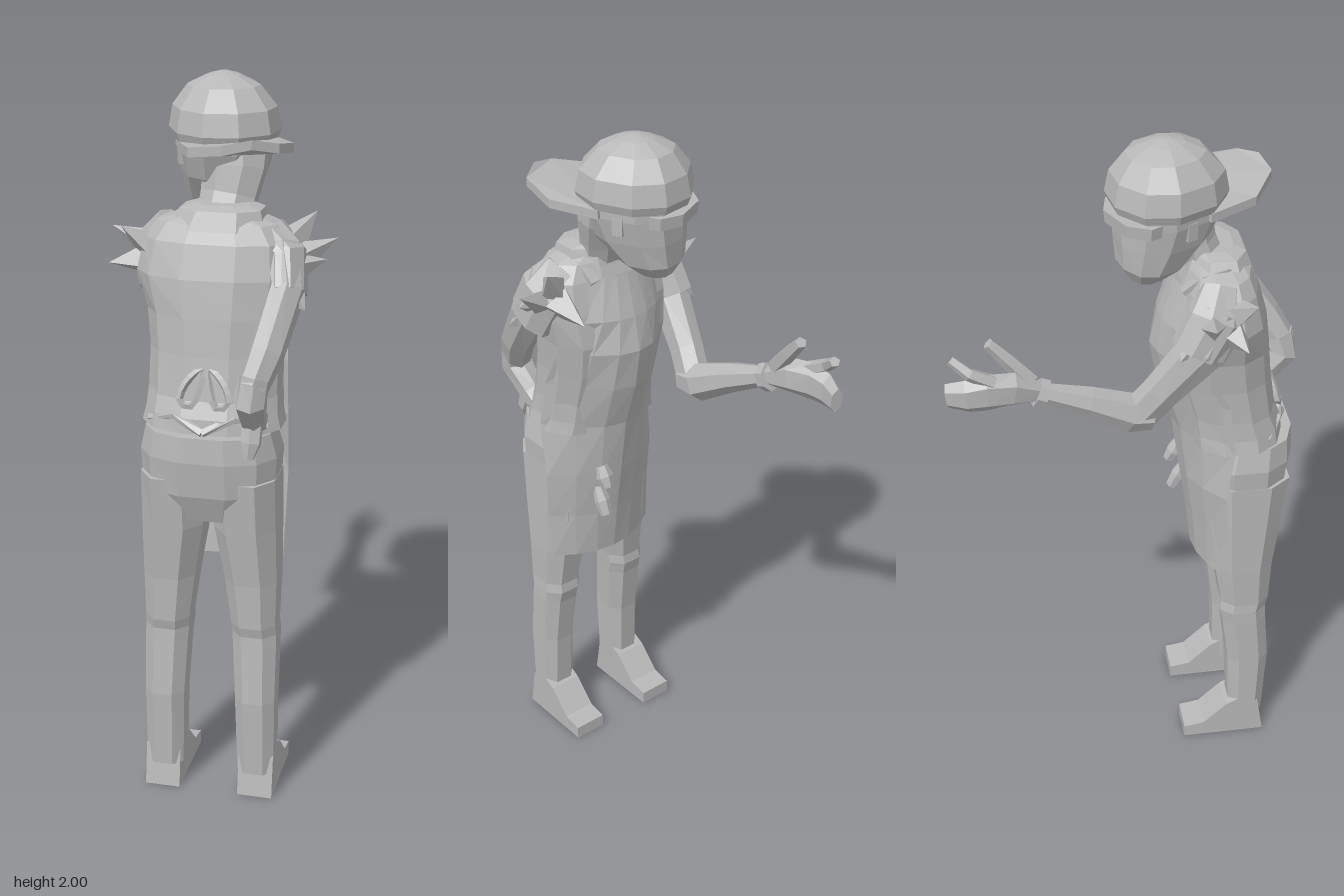
import * as THREE from 'three';

const V = (a) => new THREE.Vector3(...a);

// Skin closed rings of points into a capped tube; rings run along the part's axis.
function skin(rings) {
  const n = rings[0].length, pos = [], idx = [];
  rings.forEach((r) => r.forEach((p) => pos.push(p.x, p.y, p.z)));
  for (let i = 0; i < rings.length - 1; i++) for (let j = 0; j < n; j++) {
    const a = i * n + j, b = i * n + (j + 1) % n;
    idx.push(a, b, a + n, b, b + n, a + n);
  }
  const last = (rings.length - 1) * n;
  for (let j = 1; j < n - 1; j++) {
    idx.push(0, j + 1, j);
    idx.push(last, last + j, last + j + 1);
  }
  const g = new THREE.BufferGeometry();
  g.setAttribute('position', new THREE.Float32BufferAttribute(pos, 3));
  g.setIndex(idx);
  g.computeVertexNormals();
  return g;
}

const sgnPow = (v, p) => Math.sign(v) * Math.abs(v) ** p;

// Horizontal rings, bottom to top: [y, cx, cz, rx, rz]; p below 1 squares them off.
function stack(rows, n = 10, p = 0.8) {
  return skin(rows.map(([y, cx, cz, rx, rz]) => Array.from({ length: n }, (_, j) => {
    const t = -(j + 0.5) / n * Math.PI * 2;
    return new THREE.Vector3(cx + rx * sgnPow(Math.cos(t), p), y, cz + rz * sgnPow(Math.sin(t), p));
  })));
}

// Limb along points: [x, y, z, half width sideways, half depth].
function limb(rows, n = 7) {
  const pts = rows.map((r) => V(r.slice(0, 3)));
  return skin(rows.map((r, i) => {
    const d = pts[Math.min(i + 1, pts.length - 1)].clone().sub(pts[Math.max(i - 1, 0)]).normalize();
    const side = new THREE.Vector3(1, 0, 0).addScaledVector(d, -d.x).normalize();
    const up = d.clone().cross(side);
    return Array.from({ length: n }, (_, j) => {
      const t = (j + 0.5) / n * Math.PI * 2;
      return pts[i].clone().addScaledVector(side, Math.cos(t) * r[3]).addScaledVector(up, Math.sin(t) * r[4]);
    });
  }));
}

export function createModel() {
  const model = new THREE.Group();
  const grey = new THREE.MeshStandardMaterial({ color: 0xb8b8b8, flatShading: true, side: THREE.DoubleSide });
  grey.name = 'plain grey';
  const add = (name, geo, parent = model) => {
    const m = new THREE.Mesh(geo, grey);
    m.name = name;
    parent.add(m);
    return m;
  };

  // Torso leaning forward from the hips
  add('torso', stack([
    [1.06, 0, 0.31, 0.17, 0.12], [1.16, 0, 0.28, 0.18, 0.13], [1.3, 0, 0.25, 0.18, 0.14],
    [1.4, 0, 0.235, 0.19, 0.145], [1.5, -0.005, 0.235, 0.215, 0.13], [1.59, 0, 0.235, 0.2, 0.105],
    [1.635, 0, 0.235, 0.165, 0.085], [1.66, 0.01, 0.23, 0.09, 0.065],
  ], 12));
  add('shirtHem', stack([[1.1, 0, 0.29, 0.195, 0.14], [1.14, 0, 0.285, 0.185, 0.14], [1.2, 0, 0.27, 0.18, 0.13]], 12));
  add('collar', stack([[1.62, 0, 0.235, 0.14, 0.095], [1.67, 0.01, 0.235, 0.115, 0.075], [1.68, 0.01, 0.22, 0.075, 0.06]], 8));
  add('neck', limb([[0, 1.58, 0.22, 0.075, 0.06], [0.015, 1.69, 0.18, 0.08, 0.055], [0.025, 1.76, 0.16, 0.09, 0.065],
    [0.02, 1.84, 0.14, 0.1, 0.07]], 8));

  // Trousers and shoes
  add('trouserSeat', stack([
    [0.85, 0, 0.325, 0.14, 0.095], [0.93, 0, 0.325, 0.187, 0.128],
    [1.03, 0, 0.32, 0.192, 0.145], [1.1, 0, 0.33, 0.175, 0.13],
  ], 12));
  const sole = new THREE.Shape([[-0.4, 0], [-0.15, 0], [-0.15, 0.04], [-0.21, 0.05], [-0.28, 0.12], [-0.32, 0.14], [-0.38, 0.12]]
    .map((p) => new THREE.Vector2(...p)));
  for (const s of [-1, 1]) {
    const side = s > 0 ? 'left' : 'right';
    add(side + 'TrouserLeg', stack([
      [0.07, s * 0.132, 0.345, 0.056, 0.056], [0.3, s * 0.13, 0.345, 0.06, 0.066],
      [0.46, s * 0.126, 0.328, 0.065, 0.07], [0.5, s * 0.124, 0.322, 0.066, 0.074], [0.53, s * 0.122, 0.328, 0.066, 0.076],
      [0.66, s * 0.115, 0.32, 0.077, 0.09], [0.82, s * 0.101, 0.322, 0.091, 0.11], [0.97, s * 0.1, 0.325, 0.09, 0.125],
    ], 8));
    const shoe = add(side + 'Shoe', new THREE.ExtrudeGeometry(sole, { depth: 0.1, bevelEnabled: false }));
    shoe.rotation.y = Math.PI / 2;
    shoe.position.x = s * 0.135 - 0.05;
  }

  // Apron: rows of [y, half width, z at the middle, z at the edge]
  const rows = [[0.655, 0.182, 0.185, 0.255], [0.8, 0.19, 0.168, 0.26], [0.95, 0.195, 0.145, 0.25], [1.12, 0.197, 0.12, 0.27],
    [1.26, 0.19, 0.075, 0.25], [1.38, 0.18, 0.055, 0.19], [1.48, 0.14, 0.075, 0.13], [1.6, 0.1, 0.11, 0.14]];
  const apron = new THREE.PlaneGeometry(2, 1, 6, rows.length - 1);
  const ap = apron.attributes.position;
  for (let i = 0; i < ap.count; i++) {
    const u = ap.getX(i), [y, w, zm, ze] = rows[Math.floor(i / 7)];
    ap.setXYZ(i, u * w, y, zm + (ze - zm) * u * u);
  }
  add('apron', apron);
  for (const s of [-1, 1]) {
    const strap = [[0.095, 1.59, 0.13], [0.105, 1.635, 0.18], [0.1, 1.65, 0.24], [0.08, 1.63, 0.3]];
    add('apronStrap', limb(strap.map(([x, y, z]) => [s * x, y, z, 0.02, 0.01]), 4));
    // Bow loops at the small of the back
    const loop = new THREE.CatmullRomCurve3([[0.008, 1.27, 0.385], [0.05, 1.235, 0.4], [0.065, 1.185, 0.415],
      [0.035, 1.175, 0.42], [0.015, 1.215, 0.405]].map(([x, y, z]) => new THREE.Vector3(s * x, y, z)), true);
    add('bowLoop', new THREE.TubeGeometry(loop, 12, 0.01, 4, true));
    add('bowTail', limb([[0, 1.11, 0.44, 0.012, 0.01], [s * 0.08, 1.145, 0.41, 0.015, 0.01], [s * 0.16, 1.12, 0.37, 0.012, 0.01]], 4));
  }

  // Small tools hanging from the apron
  add('toolHandle', limb([[0.065, 0.98, 0.155, 0.018, 0.015], [0.065, 0.95, 0.14, 0.028, 0.02], [0.065, 0.92, 0.125, 0.018, 0.015]], 6));
  add('toolBlade', limb([[0.065, 0.91, 0.18, 0.015, 0.01], [0.065, 0.86, 0.155, 0.025, 0.02], [0.065, 0.82, 0.135, 0.02, 0.015]], 6));

  // Head turned to one side, with a cap worn backwards
  const head = new THREE.Group();
  head.name = 'head';
  head.position.set(-0.02, 0, 0.09);
  head.rotation.y = 0.46;
  model.add(head);
  add('face', stack([
    [1.62, 0, -0.06, 0.05, 0.045], [1.66, 0, -0.045, 0.09, 0.085], [1.73, 0, -0.01, 0.112, 0.125],
    [1.8, 0, 0.005, 0.128, 0.14], [1.88, 0, 0, 0.13, 0.14],
  ], 10), head);
  add('capCrown', stack([
    [1.825, 0, 0.005, 0.138, 0.152], [1.85, 0, 0.005, 0.147, 0.162], [1.91, 0, 0.005, 0.137, 0.15],
    [1.965, 0, 0, 0.095, 0.105], [1.99, 0, 0, 0.045, 0.05], [2, 0, 0, 0.01, 0.01],
  ], 10, 0.9), head);
  add('capStrap', stack([[1.785, 0, -0.075, 0.108, 0.085], [1.82, 0, -0.075, 0.112, 0.088]], 8), head);
  const bill = new THREE.Shape([[-0.135, 0.05], [-0.14, 0.19], [-0.075, 0.29], [0, 0.305], [0.075, 0.29], [0.14, 0.19], [0.135, 0.05]]
    .map((p) => new THREE.Vector2(...p)));
  const brim = new THREE.ExtrudeGeometry(bill, { depth: 0.025, bevelEnabled: false }).rotateX(Math.PI / 2);
  const bp = brim.attributes.position;
  for (let i = 0; i < bp.count; i++) bp.setY(i, bp.getY(i) + bp.getZ(i) * 0.08 - Math.abs(bp.getX(i)) * 0.18);
  add('capBrim', brim, head).position.y = 1.847;
  for (const s of [-1, 1]) {
    add('ear', new THREE.BoxGeometry(0.012, 0.05, 0.03), head).position.set(s * 0.119, 1.785, 0);
  }

  // Arm reaching forward with an open hand
  add('reachingUpperArm', limb([[-0.17, 1.57, 0.22, 0.055, 0.07], [-0.195, 1.47, 0.17, 0.05, 0.07],
    [-0.175, 1.33, 0.06, 0.045, 0.055], [-0.16, 1.26, 0.01, 0.045, 0.055]]));
  add('reachingForearm', limb([[-0.16, 1.25, 0.04, 0.045, 0.045], [-0.16, 1.26, -0.02, 0.054, 0.057],
    [-0.175, 1.32, -0.14, 0.042, 0.043], [-0.19, 1.37, -0.26, 0.028, 0.028]]));
  add('reachingCuff', limb([[-0.19, 1.363, -0.25, 0.036, 0.042], [-0.19, 1.373, -0.275, 0.036, 0.042]]));
  add('palmAndFingers', limb([[-0.19, 1.375, -0.27, 0.025, 0.03], [-0.205, 1.4, -0.34, 0.035, 0.052], [-0.22, 1.405, -0.41, 0.028, 0.056],
    [-0.222, 1.4, -0.46, 0.024, 0.05], [-0.205, 1.395, -0.51, 0.018, 0.038]], 6));
  add('thumb', limb([[-0.19, 1.41, -0.29, 0.022, 0.026], [-0.183, 1.48, -0.35, 0.022, 0.022], [-0.178, 1.53, -0.395, 0.018, 0.016]], 5));
  add('indexFinger', limb([[-0.22, 1.435, -0.39, 0.022, 0.022], [-0.225, 1.47, -0.45, 0.019, 0.018], [-0.205, 1.505, -0.495, 0.015, 0.014]], 5));

  // Arm bent behind, hand resting on the lower back
  add('bentUpperArm', limb([[0.17, 1.57, 0.24, 0.055, 0.07], [0.195, 1.47, 0.3, 0.05, 0.065],
    [0.165, 1.33, 0.41, 0.047, 0.055], [0.14, 1.25, 0.46, 0.04, 0.05]]));
  add('bentForearm', limb([[0.145, 1.28, 0.45, 0.042, 0.05], [0.135, 1.22, 0.465, 0.045, 0.05],
    [0.13, 1.15, 0.4, 0.036, 0.045], [0.13, 1.1, 0.32, 0.03, 0.032]]));
  add('bentCuff', limb([[0.13, 1.115, 0.335, 0.04, 0.04], [0.13, 1.1, 0.31, 0.04, 0.04]]));
  add('bentHand', limb([[0.13, 1.14, 0.41, 0.03, 0.03], [0.13, 1.09, 0.43, 0.028, 0.025], [0.125, 1.05, 0.44, 0.015, 0.015]], 6));

  // Torn sleeves with ragged spikes
  for (const [s, dz] of [[-1, -0.045], [1, 0.045]]) {
    add('tornSleeve', limb([[s * 0.13, 1.61, 0.225, 0.05, 0.06], [s * 0.185, 1.55, 0.22 + dz * 0.4, 0.055, 0.085],
      [s * 0.195, 1.46, 0.22 + dz * 1.5, 0.052, 0.08]], 8));
  }
  const spikes = [
    [[-0.19, 1.54, 0.19], [-0.31, 1.59, 0.18]], [[-0.19, 1.52, 0.24], [-0.295, 1.51, 0.27]],
    [[-0.18, 1.56, 0.25], [-0.25, 1.62, 0.3]], [[-0.19, 1.5, 0.15], [-0.235, 1.46, 0.1]],
    [[0.19, 1.53, 0.22], [0.31, 1.59, 0.18]], [[0.18, 1.57, 0.2], [0.245, 1.65, 0.14]],
    [[0.19, 1.52, 0.26], [0.285, 1.54, 0.22]], [[0.18, 1.54, 0.18], [0.17, 1.5, 0.08]],
    [[0.2, 1.47, 0.29], [0.25, 1.43, 0.33]],
  ];
  for (const [base, tip] of spikes) {
    const d = V(tip).sub(V(base)), len = d.length();
    const spike = add('sleeveSpike', new THREE.ConeGeometry(0.05, len, 4).translate(0, len / 2, 0));
    spike.position.set(...base);
    spike.quaternion.setFromUnitVectors(new THREE.Vector3(0, 1, 0), d.normalize());
  }
  return model;
}
